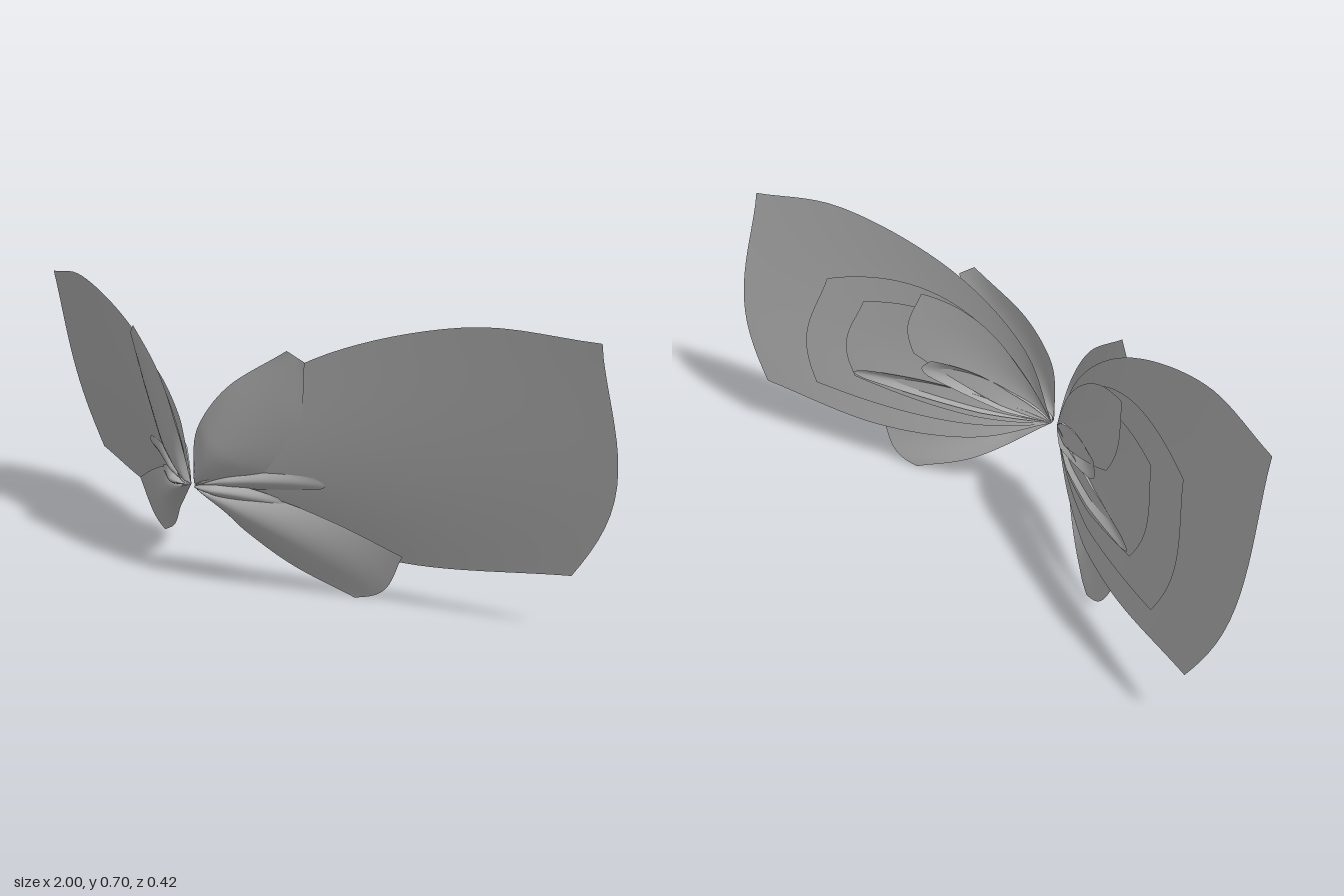
import * as THREE from 'three';

const ROOT = new THREE.Vector3(0.006, 0.242, 0);

// Smooth edge from the root through a few points
const edge = pts => new THREE.CatmullRomCurve3(
  [ROOT, ...pts.map(([x, y]) => new THREE.Vector3(x, y, 0))], false, 'centripetal');

// Arched edge from the root straight to a tip, raised by a given height
function arch(x, y, rise) {
  const mid = new THREE.Vector3(x, y, 0).lerp(ROOT, 0.5);
  mid.y += 2 * rise; // control point
  mid.x -= 0.15 * x;
  return new THREE.QuadraticBezierCurve3(ROOT, mid, new THREE.Vector3(x, y, 0));
}

// Swept-back sheet on which all feathers lie
const sheet = (x, y) => 0.14 + 0.18 * (y - 0.135) + 0.03 * Math.exp(-x / 0.2) - 0.345 * x;

// Feather between two edges, with a tip bulge, a forward dome and a layer offset
function featherGeometry(side, top, low, bow, dome, off) {
  const NS = 28, NT = 16, pos = [], index = [];
  const a0 = top.getPoint(1), b0 = low.getPoint(1);
  const out = new THREE.Vector3(a0.y - b0.y, b0.x - a0.x, 0).normalize();
  for (let i = 0; i <= NS; i++) {
    const s = i / NS, a = top.getPointAt(s), b = low.getPointAt(s);
    for (let j = 0; j <= NT; j++) {
      const t = j / NT;
      const p = a.clone().lerp(b, t)
        .addScaledVector(out, bow * s * s * Math.sin(Math.PI * t ** 1.25));
      let z = sheet(p.x, p.y) + off * Math.min(1, 3 * s)
        + dome * Math.sin(Math.PI * t) * Math.sin(Math.PI * Math.sqrt(s));
      let x = p.x;
      if (side < 0) { // the right wing is pitched a little further back
        z -= 0.075 * (0.66 - p.y) * Math.min(1, p.x / 0.35);
        x = -(0.99 * p.x + 0.01);
      }
      pos.push(x, p.y, z);
      if (i < NS && j < NT) {
        const k = i * (NT + 1) + j, n = k + NT + 1;
        if (side > 0) index.push(k, k + 1, n, k + 1, n + 1, n);
        else index.push(k, n, k + 1, k + 1, n, n + 1);
      }
    }
  }
  const g = new THREE.BufferGeometry();
  g.setAttribute('position', new THREE.Float32BufferAttribute(pos, 3));
  g.setIndex(index);
  g.computeVertexNormals();
  return g;
}

function makeWing(side, material) {
  const wing = new THREE.Group();
  wing.name = side > 0 ? 'leftWing' : 'rightWing';
  const feather = (name, top, low, bow, dome, off) => {
    const mesh = new THREE.Mesh(featherGeometry(side, top, low, bow, dome, off), material);
    mesh.name = name;
    wing.add(mesh);
  };
  // Small feather given by its length, tip heights and upper arch
  const small = (name, length, yTop, yLow, rise, dome, off) =>
    feather(name, arch(length, yTop, rise), arch(length, yLow, -rise / 4), 0.07 * length, dome, off);

  // Three broad feathers
  feather('mainFeather',
    edge([[0.1, 0.42], [0.32, 0.585], [0.7, 0.695], [0.98, 0.68]]),
    edge([[0.2, 0.15], [0.5, 0.105], [0.885, 0.135]]), 0.068, 0.02, 0);
  feather('upperFeather',
    edge([[0.01, 0.3], [0.035, 0.39], [0.12, 0.502], [0.285, 0.61]]),
    edge([[0.1, 0.255], [0.2, 0.29], [0.29, 0.42], [0.325, 0.585]]), 0, 0.032, 0.014);
  feather('lowerFeather',
    edge([[0.2, 0.237], [0.35, 0.195], [0.515, 0.128]]),
    edge([[0.22, 0.075], [0.385, 0.002]]), 0.03, 0.035, 0.024);

  // Nested layers on the back
  small('outerBackFeather', 0.71, 0.49, 0.18, 0.14, 0.012, -0.008);
  small('middleBackFeather', 0.58, 0.455, 0.235, 0.1, 0.01, -0.015);
  small('innerBackFeather', 0.4, 0.52, 0.35, 0.07, 0.008, -0.022);

  // Narrow cupped quills
  small('upperQuill', 0.34, 0.345, 0.3, 0.035, 0.045, -0.03);
  small('middleQuill', 0.54, 0.265, 0.24, 0.03, 0.035, -0.025);
  small('frontQuill', 0.32, 0.3, 0.27, 0.02, 0.022, 0.02);
  small('shortQuill', 0.225, 0.24, 0.208, 0.02, 0.03, 0.026);
  return wing;
}

export function createModel() {
  const group = new THREE.Group();
  group.name = 'wings';
  const grey = new THREE.MeshStandardMaterial({ color: 0xb0b0b0, side: THREE.DoubleSide });
  grey.name = 'grey';
  group.add(makeWing(1, grey), makeWing(-1, grey));
  return group;
}
